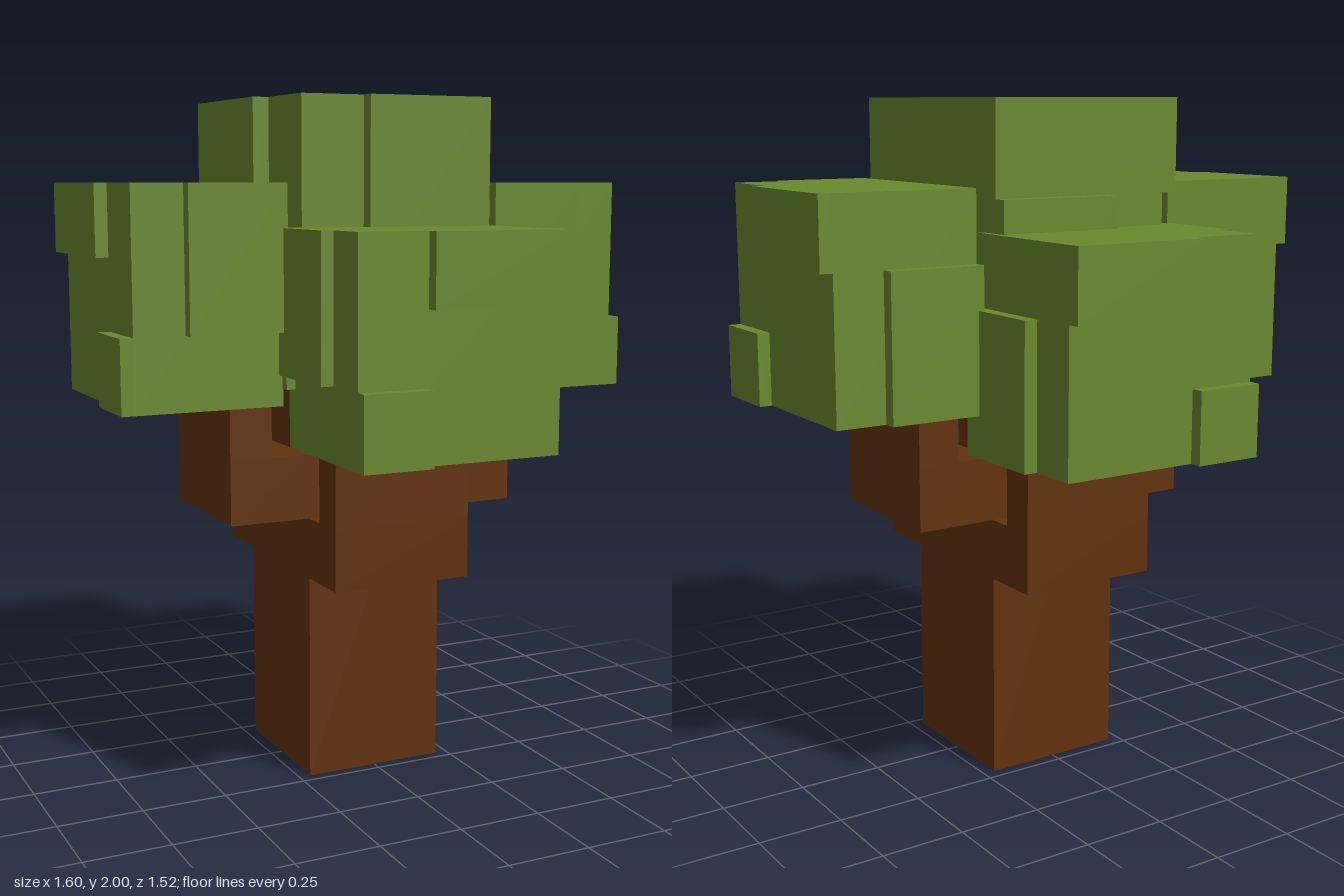
import * as THREE from 'three';

const bark = new THREE.MeshStandardMaterial({ color: 0x63330d, flatShading: true });
const leaf = new THREE.MeshStandardMaterial({ color: 0x6a8a2f, flatShading: true });

// Axis-aligned block given by its [min, max] range on each axis
function block(parent, name, material, x, y, z) {
  const mesh = new THREE.Mesh(
    new THREE.BoxGeometry(x[1] - x[0], y[1] - y[0], z[1] - z[0]), material);
  mesh.position.set((x[0] + x[1]) / 2, (y[0] + y[1]) / 2, (z[0] + z[1]) / 2);
  mesh.name = name;
  parent.add(mesh);
}

// Same block with x and z reflected by the signs sx and sz
function mirrored(parent, name, material, sx, sz, x, y, z) {
  const flip = (r, s) => (s > 0 ? r : [-r[1], -r[0]]);
  block(parent, name, material, flip(x, sx), y, flip(z, sz));
}

export function createModel() {
  const tree = new THREE.Group();
  tree.name = 'tree';

  block(tree, 'trunk', bark, [-0.215, 0.215], [0, 1.19], [-0.215, 0.218]);

  for (const s of [1, -1]) {
    // Left and right branches: short arm with an upright end
    const side = new THREE.Group();
    side.name = s > 0 ? 'leftBranch' : 'rightBranch';
    tree.add(side);
    mirrored(side, 'arm', bark, s, 1, [0.215, 0.46], [0.79, 0.98], [-0.215, 0.218]);
    mirrored(side, 'upright', bark, s, 1, [0.332, 0.46], [0.98, 1.14], [-0.215, 0.218]);

    // Front and back branches, set lower
    const end = new THREE.Group();
    end.name = s > 0 ? 'frontBranch' : 'backBranch';
    tree.add(end);
    mirrored(end, 'arm', bark, 1, s, [-0.215, 0.215], [0.61, 0.79], [0.215, 0.397]);
    mirrored(end, 'upright', bark, 1, s, [-0.215, 0.215], [0.79, 1.02], [0.288, 0.397]);

    // Left and right foliage with raised leaf patches
    const sideLeaves = new THREE.Group();
    sideLeaves.name = s > 0 ? 'leftFoliage' : 'rightFoliage';
    tree.add(sideLeaves);
    const sl = (name, x, y, z) => mirrored(sideLeaves, name, leaf, s, 1, x, y, z);
    sl('foliageCore', [0.33, 0.765], [1.14, 1.76], [-0.316, 0.3]);
    sl('upperPatch', [0.765, 0.802], [1.555, 1.76], [-0.316, 0.095]);
    sl('lowerPatch', [0.765, 0.802], [1.14, 1.35], [0.095, 0.3]);
    sl('frontPatch', [0.33, 0.617], [1.35, 1.76], [0.3, 0.337]);
    sl('backPatch', [0.33, 0.617], [1.14, 1.555], [-0.355, -0.316]);

    // Front and back foliage, set lower
    const endLeaves = new THREE.Group();
    endLeaves.name = s > 0 ? 'frontFoliage' : 'backFoliage';
    tree.add(endLeaves);
    const el = (name, x, y, z) => mirrored(endLeaves, name, leaf, 1, s, x, y, z);
    el('foliageCore', [-0.307, 0.308], [1.02, 1.637], [0.29, 0.725]);
    el('upperPatch', [-0.102, 0.308], [1.435, 1.637], [0.725, 0.762]);
    el('lowerPatch', [-0.307, -0.102], [1.02, 1.228], [0.725, 0.762]);
    el('leftPatch', [0.308, 0.347], [1.02, 1.432], [0.29, 0.58]);
    el('rightPatch', [-0.343, -0.307], [1.228, 1.637], [0.29, 0.58]);
  }

  // Tall top foliage over the trunk
  const top = new THREE.Group();
  top.name = 'topFoliage';
  tree.add(top);
  const tl = (name, x, y, z) => block(top, name, leaf, x, y, z);
  tl('foliageCore', [-0.285, 0.288], [1.19, 2], [-0.347, 0.33]);
  tl('frontPatch', [-0.095, 0.288], [1.46, 2], [0.33, 0.372]);
  tl('backPatch', [-0.095, 0.288], [1.19, 1.73], [-0.39, -0.347]);
  tl('rightUpperPatch', [-0.333, -0.285], [1.73, 2], [-0.347, 0.1]);
  tl('rightLowerPatch', [-0.333, -0.285], [1.19, 1.46], [0.1, 0.33]);
  tl('leftPatch', [0.288, 0.33], [1.19, 1.46], [-0.12, 0.33]);

  return tree;
}
